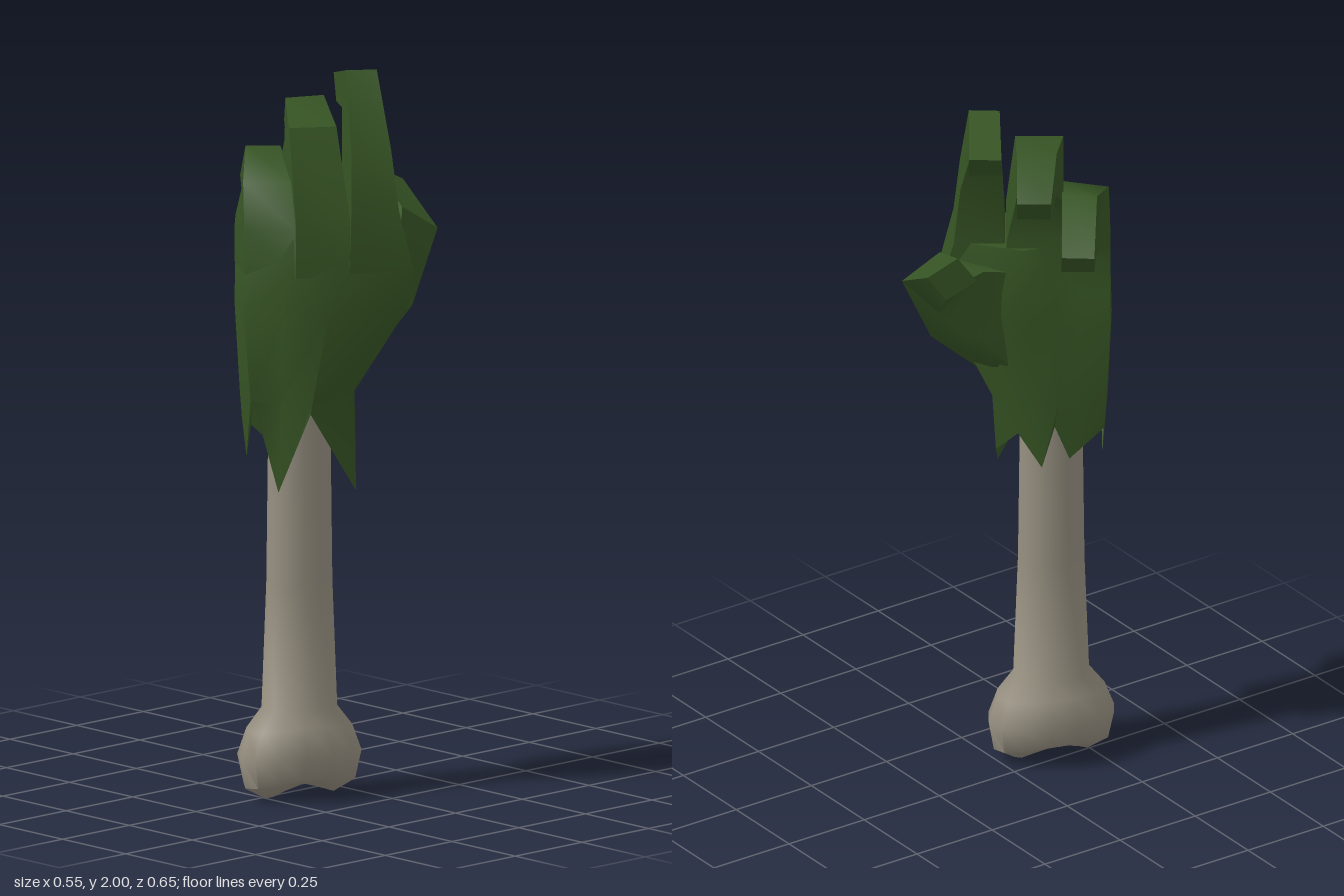
import * as THREE from 'three';
import { toCreasedNormals } from 'three/addons/utils/BufferGeometryUtils.js';

const green = new THREE.MeshStandardMaterial({ color: 0x365424, side: THREE.DoubleSide });
green.name = 'dark green skin';
const bone = new THREE.MeshStandardMaterial({ color: 0x979081 });
bone.name = 'grey bone';

// hand frame: a = out of the back of the hand, b = from first finger to last finger
const hand = (a, b, y) => new THREE.Vector3(0.82 * a - 0.57 * b, y, 0.57 * a + 0.82 * b);

// skin a list of equal-length closed rings, with optional end caps
function loft(rings, capStart, capEnd, crease) {
  const n = rings[0].length;
  const pts = rings.flat();
  const index = [];
  for (let r = 0; r < rings.length - 1; r++) {
    for (let i = 0; i < n; i++) {
      const j = (i + 1) % n, p = r * n, q = p + n;
      index.push(p + i, p + j, q + j, p + i, q + j, q + i);
    }
  }
  const cap = (ring, start, flip) => {
    const c = new THREE.Vector3();
    ring.forEach((v) => c.addScaledVector(v, 1 / n));
    const k = pts.push(c) - 1;
    for (let i = 0; i < n; i++) {
      const j = (i + 1) % n;
      if (flip) index.push(k, start + j, start + i);
      else index.push(k, start + i, start + j);
    }
  };
  const last = rings.length - 1;
  if (capStart) cap(rings[0], 0, true);
  if (capEnd) cap(rings[last], last * n, false);

  // turn all faces outward
  const mid = new THREE.Vector3();
  pts.forEach((v) => mid.addScaledVector(v, 1 / pts.length));
  const rel = pts.map((v) => v.clone().sub(mid));
  let volume = 0;
  for (let t = 0; t < index.length; t += 3) {
    volume += rel[index[t]].dot(rel[index[t + 1]].clone().cross(rel[index[t + 2]]));
  }
  if (volume < 0) index.reverse();

  const geo = new THREE.BufferGeometry().setFromPoints(pts);
  geo.setIndex(index);
  return toCreasedNormals(geo, crease);
}

function add(group, name, geo, material) {
  const mesh = new THREE.Mesh(geo, material);
  mesh.name = name;
  group.add(mesh);
}

// finger stations: [back a at b0, back a at b1, back y, palm a, palm y, b0, b1]
function finger(stations) {
  const rings = stations.map(([a0, a1, yb, ap, yp, b0, b1]) => [
    hand(a0, b0, yb), hand(a1, b1, yb), hand(ap, b1, yp), hand(ap, b0, yp),
  ]);
  return loft(rings, true, true, 0.95);
}

export function createModel() {
  const model = new THREE.Group();
  model.name = 'severedHand';

  // bone: oval shaft with a two-lobed knuckle at the foot
  const profile = [ // y, long half, short half, rise of the groove between lobes
    [1.3, 0.085, 0.07, 0], [0.9, 0.09, 0.072, 0], [0.6, 0.094, 0.074, 0],
    [0.25, 0.107, 0.087, 0], [0.19, 0.153, 0.11, 0.02], [0.12, 0.18, 0.126, 0.01],
    [0.035, 0.165, 0.1, 0.03], [0.001, 0.105, 0.06, 0.045], [0.02, 0.05, 0.03, 0.03],
  ];
  const sides = 14;
  const boneRings = profile.map(([y, long, short, groove]) =>
    Array.from({ length: sides }, (_, i) => {
      const t = (i / sides) * Math.PI * 2;
      const u = Math.cos(t) * long, v = Math.sin(t) * short;
      return new THREE.Vector3(
        0.042 - 0.28 * u + 0.96 * v, y + groove * Math.sin(t) ** 2, 0.152 + 0.96 * u + 0.28 * v);
    }));
  add(model, 'bone', loft(boneRings, true, true, 0.9), bone);

  // palm: ragged hem [a, b, y], then level outlines [a, b] up to the knuckles
  const hem = [
    [0.074, -0.05, 0.95], [0.03, 0.01, 1.02], [0, 0.075, 0.93], [0.01, 0.11, 1.05],
    [0.015, 0.15, 0.95], [0.025, 0.245, 1.04], [0.08, 0.24, 0.94], [0.18, 0.235, 1.11],
    [0.23, 0.175, 0.87], [0.255, 0.09, 1.09], [0.19, -0.045, 0.86],
  ];
  const wrist = [
    [0.062, -0.06], [0.02, -0.01], [-0.005, 0.07], [0, 0.12], [0.005, 0.16], [0.018, 0.25],
    [0.09, 0.255], [0.182, 0.245], [0.24, 0.17], [0.255, 0.085], [0.175, -0.033],
  ];
  const middle = [
    [0.038, -0.17], [0, -0.07], [-0.02, 0.04], [-0.005, 0.12], [0, 0.18], [0.003, 0.262],
    [0.1, 0.266], [0.185, 0.264], [0.253, 0.16], [0.253, 0.04], [0.19, -0.185],
  ];
  const knuckles = [
    [0.035, -0.203], [0, -0.08], [-0.03, 0.02], [0, 0.125], [0.005, 0.18], [0.006, 0.26],
    [0.1, 0.263], [0.184, 0.262], [0.25, 0.15], [0.24, 0], [0.194, -0.203],
  ];
  const level = (outline, y) => outline.map(([a, b]) => hand(a, b, y));
  // the top closes slightly inside the finger roots
  const top = knuckles.map(([a, b]) => [0.11 + (a - 0.11) * 0.88, 0.03 + (b - 0.03) * 0.84]);
  const palmRings = [
    hem.map((p) => hand(...p)), level(wrist, 1.12), level(middle, 1.36),
    level(knuckles, 1.47), level(top, 1.6),
  ];
  add(model, 'palm', loft(palmRings, false, true, 0.7), green);

  // three curled fingers
  add(model, 'indexFinger', finger([
    [0.194, 0.235, 1.47, 0.035, 1.47, -0.203, -0.02],
    [0.185, 0.228, 1.63, 0.03, 1.6, -0.165, -0.026],
    [0.155, 0.17, 1.8, 0.005, 1.78, -0.147, -0.035],
    [0.046, 0.042, 2.0, -0.03, 1.88, -0.124, -0.04],
    [-0.153, -0.158, 1.95, -0.11, 1.88, -0.125, -0.036],
  ]), green);
  add(model, 'middleFinger', finger([
    [0.236, 0.25, 1.47, 0, 1.47, -0.02, 0.13],
    [0.228, 0.238, 1.63, 0, 1.62, -0.022, 0.128],
    [0.15, 0.15, 1.868, -0.01, 1.74, 0.003, 0.134],
    [-0.06, -0.04, 1.91, -0.055, 1.79, 0.006, 0.115],
    [-0.166, -0.168, 1.82, -0.12, 1.75, 0.006, 0.099],
  ]), green);
  add(model, 'lastFinger', finger([
    [0.25, 0.184, 1.47, 0.006, 1.47, 0.13, 0.262],
    [0.236, 0.18, 1.6, 0.006, 1.57, 0.128, 0.262],
    [0.17, 0.135, 1.72, 0, 1.6, 0.13, 0.258],
    [-0.03, -0.04, 1.78, -0.03, 1.61, 0.13, 0.225],
    [-0.185, -0.19, 1.665, -0.14, 1.6, 0.128, 0.217],
  ]), green);

  // thumb: leaves the side of the palm, then bends inward; [x, y, z] per corner
  const thumbRings = [
    [[0.12, 1.2, -0.04], [0.14, 1.55, -0.1], [0, 1.53, -0.01], [0.01, 1.2, 0.02]],
    [[0.135, 1.33, -0.183], [0.148, 1.56, -0.13], [0.03, 1.54, -0.08], [0.025, 1.34, -0.09]],
    [[0.13, 1.53, -0.283], [0.1, 1.6, -0.178], [0.03, 1.53, -0.14], [0.04, 1.45, -0.22]],
    [[-0.055, 1.63, -0.328], [-0.08, 1.675, -0.245], [-0.1, 1.6, -0.195], [-0.075, 1.555, -0.28]],
  ].map((ring) => ring.map((p) => new THREE.Vector3(...p)));
  add(model, 'thumb', loft(thumbRings, true, true, 0.7), green);

  return model;
}
